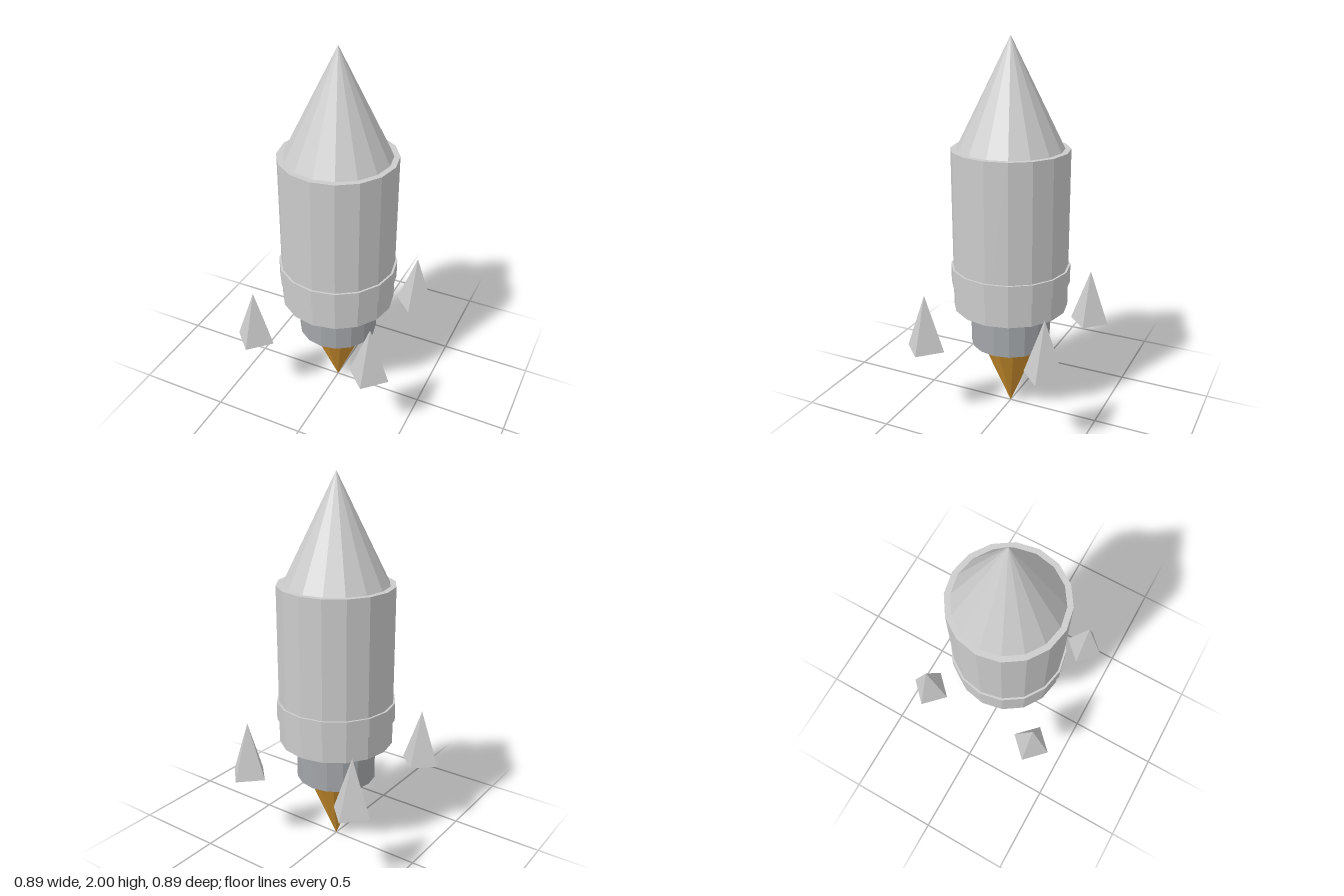
import * as THREE from 'three';

const material = (color) => new THREE.MeshStandardMaterial({ color, flatShading: true });

export function createModel() {
  const rocket = new THREE.Group();
  rocket.name = 'rocket';
  const hull = material(0xcccccc);
  const metal = material(0xa3a6aa);
  const fire = material(0xd0922f);

  // Upright tapered part given by its bottom and top heights and radii
  function add(name, bottom, top, rBottom, rTop, sides, mat) {
    const geometry = new THREE.CylinderGeometry(rTop, rBottom, top - bottom, sides);
    const mesh = new THREE.Mesh(geometry, mat);
    mesh.name = name;
    mesh.position.y = (bottom + top) / 2;
    rocket.add(mesh);
    return mesh;
  }

  // Hull stack
  add('noseCone', 1.45, 2, 0.274, 0, 16, hull);
  add('body', 0.6, 1.45, 0.304, 0.304, 16, hull);
  add('bodyBand', 0.73, 0.83, 0.315, 0.315, 16, hull);

  // Engine, floating just below the body, with its flame
  add('engineNozzle', 0.383, 0.568, 0.213, 0.213, 16, metal);
  add('flame', 0, 0.383, 0, 0.16, 12, fire);

  // Four detached pyramid fins on the diagonals
  for (const x of [-1, 1]) {
    for (const z of [-1, 1]) {
      const fin = add('fin', 0.413, 0.715, 0.109, 0, 4, hull);
      fin.position.x = x * 0.335;
      fin.position.z = z * 0.335;
    }
  }
  return rocket;
}
